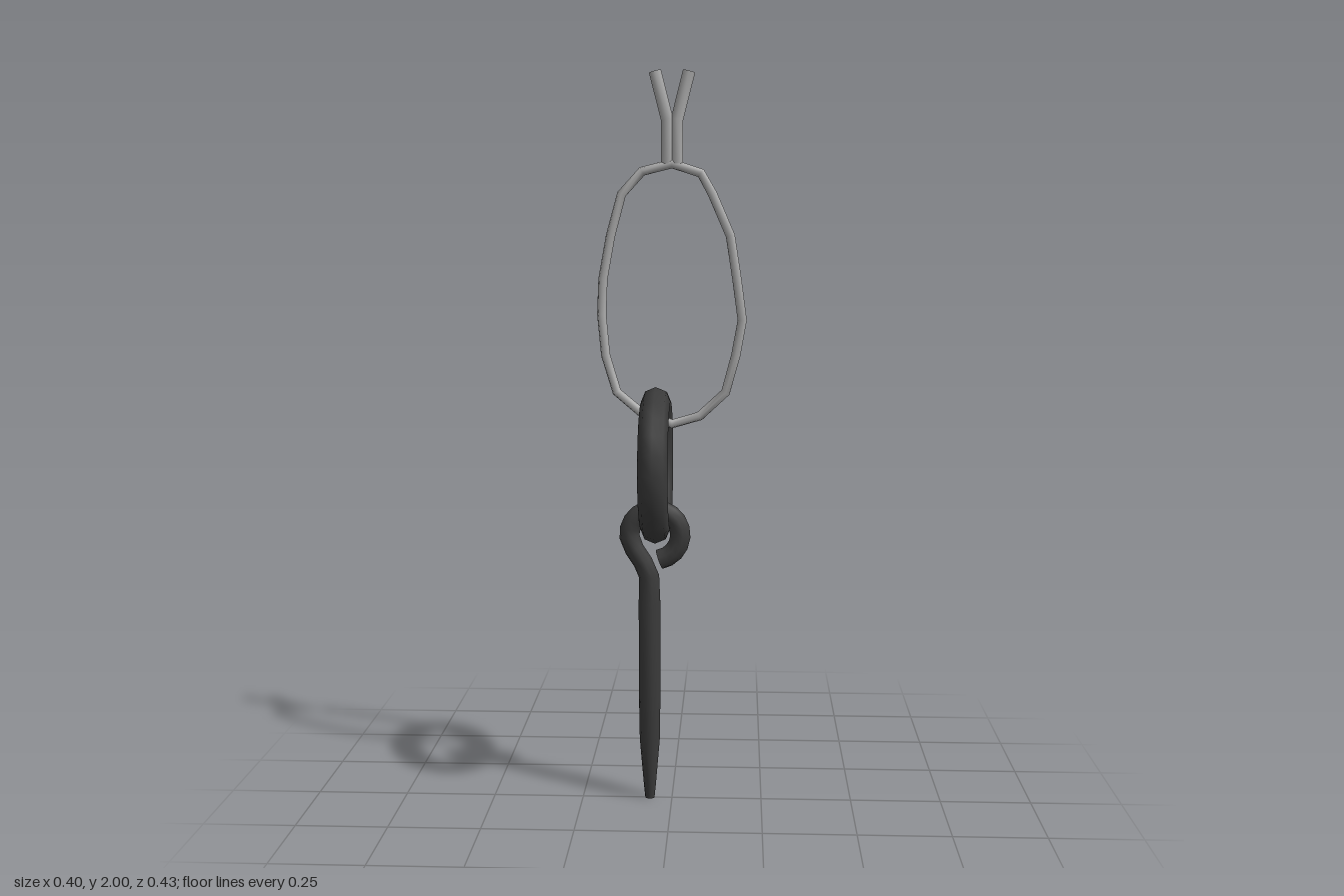
import * as THREE from 'three';

const iron = new THREE.MeshStandardMaterial({ color: 0x3a3a3a });
const wire = new THREE.MeshStandardMaterial({ color: 0xaaaaaa });

// Sweeps a round section along a path in the xy plane.
// Each path point is [x, y, radius]; flat scales the in-plane thickness.
function sweep(path, { sides = 8, closed = false, flat = 1 } = {}) {
  const n = path.length, pos = [], index = [];
  const at = i => path[closed ? (i + n) % n : Math.min(Math.max(i, 0), n - 1)];
  const addRing = i => {
    const [x, y, r] = path[i], a = at(i - 1), b = at(i + 1);
    const t = new THREE.Vector2(b[0] - a[0], b[1] - a[1]).normalize();
    const start = pos.length / 3;
    for (let j = 0; j < sides; j++) {
      const ang = (j / sides) * Math.PI * 2, c = Math.cos(ang) * r * flat;
      pos.push(x - t.y * c, y + t.x * c, Math.sin(ang) * r);
    }
    return start;
  };
  for (let i = 0; i < n; i++) addRing(i);
  for (let i = 0; i < (closed ? n : n - 1); i++) {
    const k = (i + 1) % n;
    for (let j = 0; j < sides; j++) {
      const m = (j + 1) % sides;
      const a = i * sides + j, b = i * sides + m, c = k * sides + j, d = k * sides + m;
      index.push(a, b, c, b, d, c);
    }
  }
  // Flat end caps with their own vertices
  if (!closed) {
    const s = addRing(0), e = addRing(n - 1);
    for (let j = 1; j < sides - 1; j++) {
      index.push(s, s + j + 1, s + j, e, e + j, e + j + 1);
    }
  }
  const g = new THREE.BufferGeometry();
  g.setAttribute('position', new THREE.Float32BufferAttribute(pos, 3));
  g.setIndex(index);
  g.computeVertexNormals();
  return g;
}

export function createModel() {
  const model = new THREE.Group();
  const add = (name, geometry, material, z = 0) => {
    const mesh = new THREE.Mesh(geometry, material);
    mesh.name = name;
    mesh.position.z = z;
    model.add(mesh);
    return mesh;
  };

  // Spike shaft, bent at the top into an open eye
  const spike = [
    [-0.062, 0, 0.013], [-0.062, 0.04, 0.017], [-0.062, 0.17, 0.028],
    [-0.062, 0.3, 0.03], [-0.062, 0.56, 0.03], [-0.063, 0.635, 0.028],
    [-0.08, 0.675, 0.027], [-0.103, 0.71, 0.027],
  ];
  const eyeSteps = 14;
  for (let i = 0; i <= eyeSteps; i++) {
    const a = THREE.MathUtils.degToRad(185 - (i / eyeSteps) * 265);
    spike.push([-0.047 + 0.07 * Math.cos(a), 0.752 + 0.07 * Math.sin(a), 0.028]);
  }
  add('spikeWithEye', sweep(spike, { sides: 10 }), iron);

  // Ring hanging in the eye, seen edge-on from the front
  const ring = add('ring', new THREE.TorusGeometry(0.174, 0.04, 8, 24), iron);
  ring.rotation.y = Math.PI / 2;
  ring.position.set(-0.044, 0.945, 0);

  // Irregular wire loop
  const loop = [
    [0, 1.755], [-0.08, 1.735], [-0.135, 1.675], [-0.165, 1.565], [-0.186, 1.45],
    [-0.19, 1.355], [-0.18, 1.245], [-0.15, 1.145], [-0.085, 1.09], [0, 1.058],
    [0.075, 1.08], [0.145, 1.145], [0.172, 1.245], [0.189, 1.34], [0.174, 1.45],
    [0.156, 1.565], [0.108, 1.675], [0.077, 1.73],
  ].map(([x, y]) => [x, y, 0.0165]);
  add('wireLoop', sweep(loop, { closed: true, flat: 0.75 }), wire, -0.006);

  // Two wire ends twisted together, then splayed
  for (const [name, s] of [['leftWireEnd', 1], ['rightWireEnd', -1]]) {
    const path = [[s * 0.013, 1.755], [s * 0.013, 1.87], [s * 0.045, 1.995]];
    add(name, sweep(path.map(([x, y]) => [x, y, 0.0165])), wire, -0.006);
  }
  return model;
}
